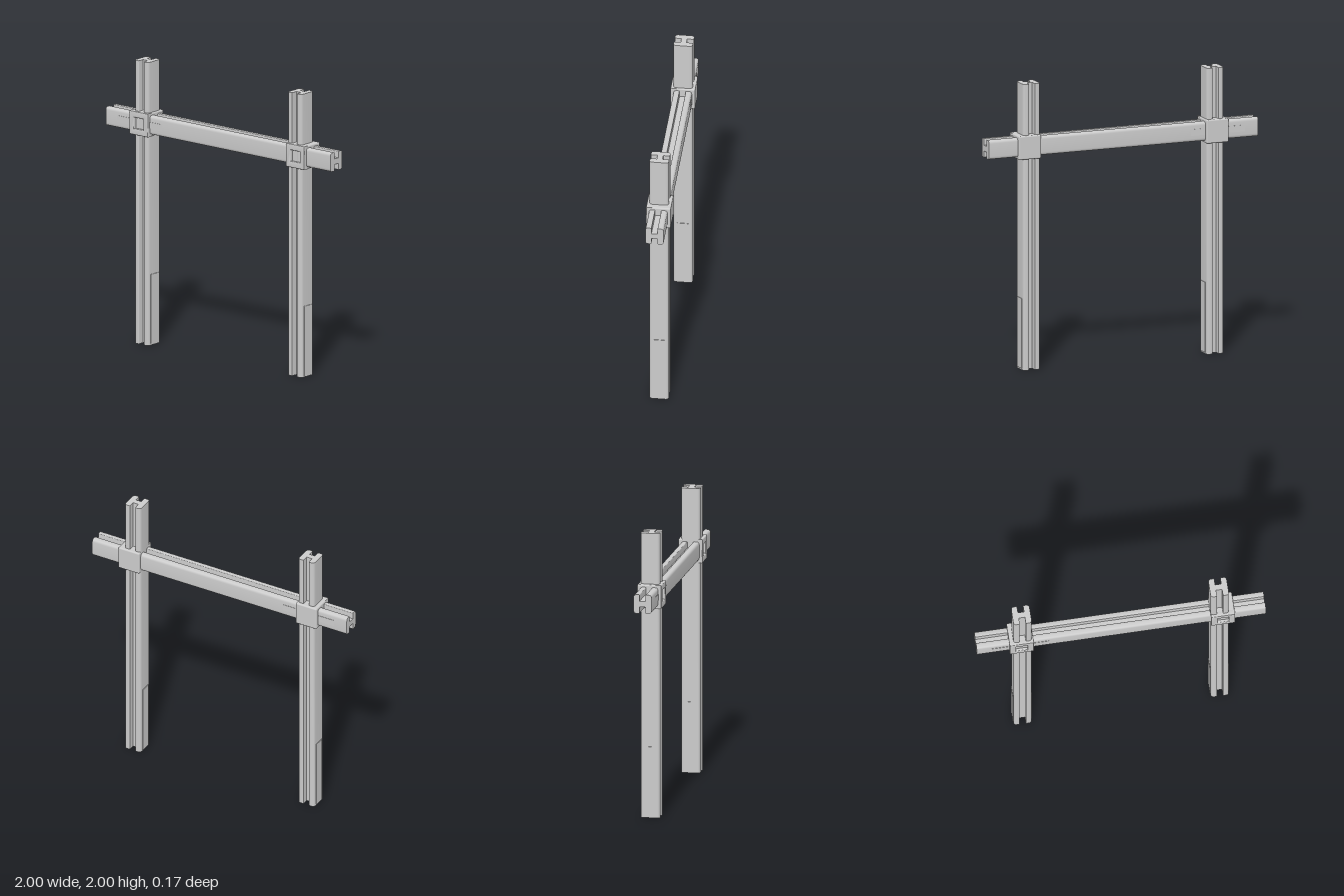
import * as THREE from 'three';
import { toCreasedNormals } from 'three/addons/utils/BufferGeometryUtils.js';
import { RoundedBoxGeometry } from 'three/addons/geometries/RoundedBoxGeometry.js';

const material = new THREE.MeshStandardMaterial({ color: 0xcccccc });

function mesh(name, geometry) {
  const m = new THREE.Mesh(geometry, material);
  m.name = name;
  return m;
}

// H-shaped section: slots open towards +y and -y, outer corners rounded
function railSection() {
  const w = 0.063, h = 0.066, slot = 0.021, web = 0.02, r = 0.022, lip = 0.006;
  const s = new THREE.Shape();
  s.moveTo(slot, web);
  s.lineTo(slot, h - lip);
  s.quadraticCurveTo(slot, h, slot + lip, h);
  s.lineTo(w - r, h);
  s.quadraticCurveTo(w, h, w, h - r);
  s.lineTo(w, r - h);
  s.quadraticCurveTo(w, -h, w - r, -h);
  s.lineTo(slot + lip, -h);
  s.quadraticCurveTo(slot, -h, slot, lip - h);
  s.lineTo(slot, -web);
  s.lineTo(-slot, -web);
  s.lineTo(-slot, lip - h);
  s.quadraticCurveTo(-slot, -h, -slot - lip, -h);
  s.lineTo(r - w, -h);
  s.quadraticCurveTo(-w, -h, -w, r - h);
  s.lineTo(-w, h - r);
  s.quadraticCurveTo(-w, h, r - w, h);
  s.lineTo(-slot - lip, h);
  s.quadraticCurveTo(-slot, h, -slot, h - lip);
  s.lineTo(-slot, web);
  s.closePath();
  return s;
}

function railGeometry() {
  const g = new THREE.ExtrudeGeometry(railSection(), { depth: 2, bevelEnabled: false, curveSegments: 5 });
  return toCreasedNormals(g, 0.6);
}

function square(Type, half) {
  const p = new Type();
  p.moveTo(-half, -half);
  p.lineTo(half, -half);
  p.lineTo(half, half);
  p.lineTo(-half, half);
  p.closePath();
  return p;
}

// Block around the crossing with a shallow square recess in front
function clamp() {
  const g = new THREE.Group();
  const body = mesh('clampBody', new RoundedBoxGeometry(0.166, 0.166, 0.15, 3, 0.01));
  body.position.z = -0.01;
  const bevel = 0.006;
  const outline = square(THREE.Shape, 0.083 - bevel);
  outline.holes.push(square(THREE.Path, 0.04 + bevel));
  const frame = mesh('clampFrontFrame', toCreasedNormals(new THREE.ExtrudeGeometry(outline, {
    depth: 0.03, bevelThickness: bevel, bevelSize: bevel, bevelSegments: 3,
  }), 0.6));
  frame.position.z = 0.085 - 0.03 - bevel;
  g.add(body, frame);
  return g;
}

export function createModel() {
  const model = new THREE.Group();
  model.name = 'railFrame';
  const beamY = 1.56;

  // Uprights with thin pads on both flanks of the lower quarter
  for (const side of [-1, 1]) {
    const post = new THREE.Group();
    post.name = side > 0 ? 'leftPost' : 'rightPost';
    post.position.x = side * 0.682;
    const rail = mesh('postRail', railGeometry());
    rail.rotation.x = -Math.PI / 2;
    post.add(rail);
    for (const flank of [-1, 1]) {
      const pad = mesh('postPad', new THREE.BoxGeometry(0.008, 0.49, 0.08));
      pad.position.set(flank * 0.063, 0.255, 0);
      post.add(pad);
    }
    model.add(post);
  }

  // Cross beam with its slots on top and underneath
  const beam = mesh('crossBeam', railGeometry());
  beam.rotation.y = Math.PI / 2;
  beam.position.set(-1, beamY, 0);
  model.add(beam);

  // Thin pads on the front and back of the beam's right end
  for (const face of [-1, 1]) {
    const pad = mesh('beamPad', new THREE.BoxGeometry(0.4, 0.045, 0.004));
    pad.position.set(-0.7, beamY, face * 0.063);
    model.add(pad);
  }

  // Clamps at the two crossings
  for (const [name, x] of [['rightClamp', -0.691], ['leftClamp', 0.702]]) {
    const c = clamp();
    c.name = name;
    c.position.set(x, beamY, 0);
    model.add(c);
  }
  return model;
}
